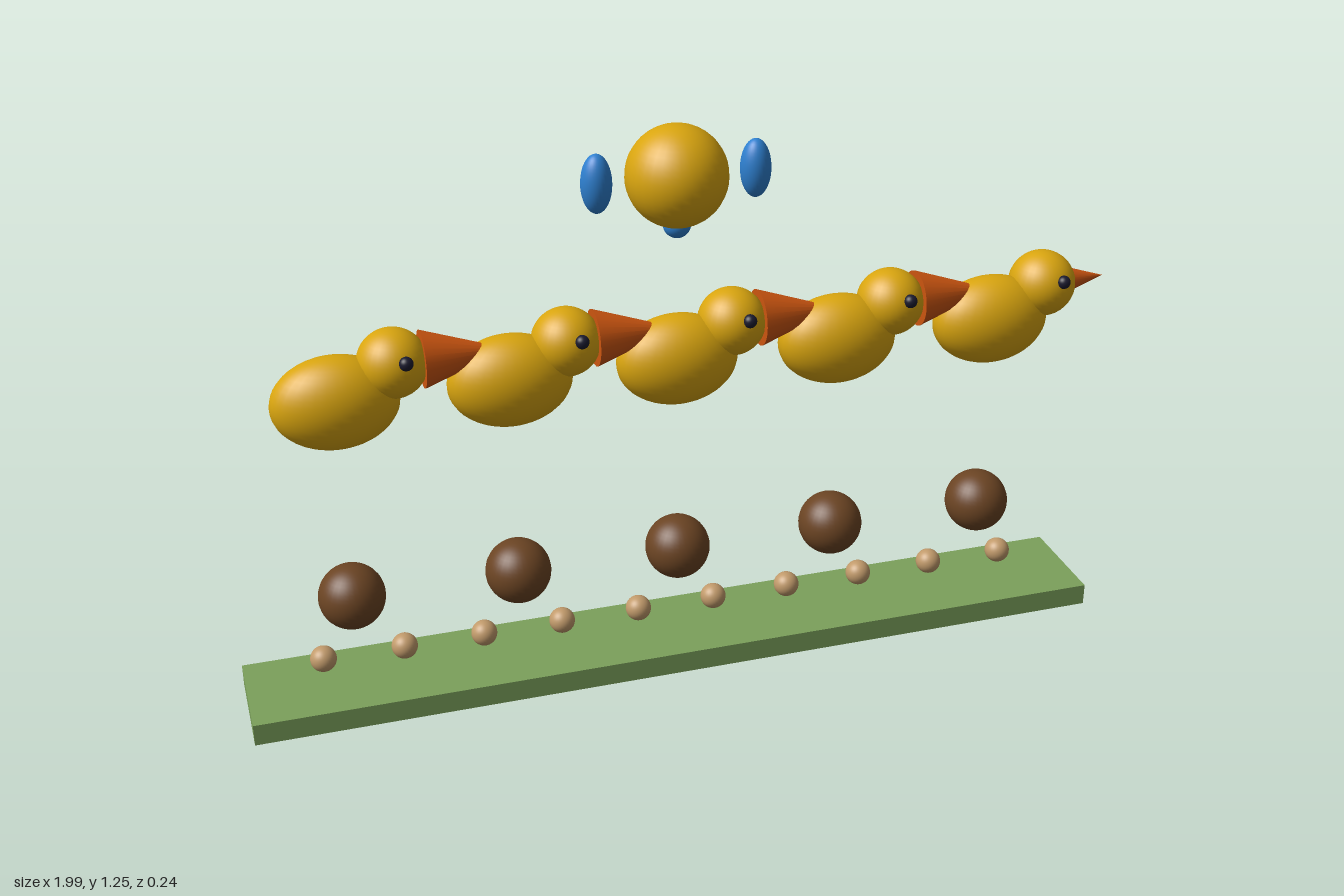
import * as THREE from 'three';

const mat = (name, color) => {
  const m = new THREE.MeshStandardMaterial({ color });
  m.name = name;
  return m;
};

export function createModel() {
  const yellow = mat('duckYellow', 0xd9a50f);
  const orange = mat('beakOrange', 0xcc5510);
  const blue = mat('blue', 0x2e80d0);
  const brown = mat('brown', 0x6b4423);
  const tan = mat('tan', 0xc19a6b);
  const green = mat('grassGreen', 0x7ba05b);
  const dark = mat('eyeDark', 0x1a1a2e);

  const model = new THREE.Group();
  model.name = 'duckRow';
  const centre = -0.02, pitch = 0.368;
  const ball = new THREE.SphereGeometry(1, 32, 24);

  const add = (parent, name, geometry, material, x, y, z = 0) => {
    const mesh = new THREE.Mesh(geometry, material);
    mesh.name = name;
    mesh.position.set(x, y, z);
    parent.add(mesh);
    return mesh;
  };
  // Ellipsoid with half sizes rx, ry, rz
  const blob = (parent, name, material, x, y, z, rx, ry = rx, rz = rx) =>
    add(parent, name, ball, material, x, y, z).scale.set(rx, ry, rz);
  // Cone pointing to +x, from base to tip
  const spike = (parent, name, r, base, tip, y) => {
    const cone = new THREE.ConeGeometry(r, tip - base, 24).rotateZ(-Math.PI / 2);
    add(parent, name, cone, orange, (base + tip) / 2, y);
  };

  // Ground slab
  add(model, 'base', new THREE.BoxGeometry(1.96, 0.05, 0.24), green, centre, 0.025);

  // Row of small beads
  for (let i = 0; i < 10; i++) {
    blob(model, 'bead', tan, centre - 0.004 + (i - 4.5) * 0.179, 0.112, 0, 0.029);
  }

  // Ducks, each above a brown ball
  for (let i = 0; i < 5; i++) {
    const x = centre + (i - 2) * pitch;
    blob(model, 'brownBall', brown, x, 0.26, 0, 0.073);

    const duck = new THREE.Group();
    duck.name = 'duck';
    duck.position.x = x;
    model.add(duck);
    blob(duck, 'body', yellow, 0, 0.727, 0, 0.135, 0.102, 0.083);
    blob(duck, 'head', yellow, 0.123, 0.8, 0, 0.075);
    blob(duck, 'eye', dark, 0.142, 0.825, 0.068, 0.015);
    spike(duck, 'beak', 0.03, 0.181, 0.275, 0.8);
    // Wide cone reaching into the next duck
    if (i < 4) spike(duck, 'linkCone', 0.062, 0.184, 0.368, 0.8);
  }

  // Floating top ornament
  blob(model, 'topBall', yellow, centre, 1.143, 0, 0.109);
  for (const s of [-1, 1]) {
    blob(model, 'sidePod', blue, centre + s * 0.172, 1.143, 0, 0.033, 0.064, 0.033);
  }
  blob(model, 'lowerKnob', blue, centre, 1.037, 0, 0.03);

  return model;
}
